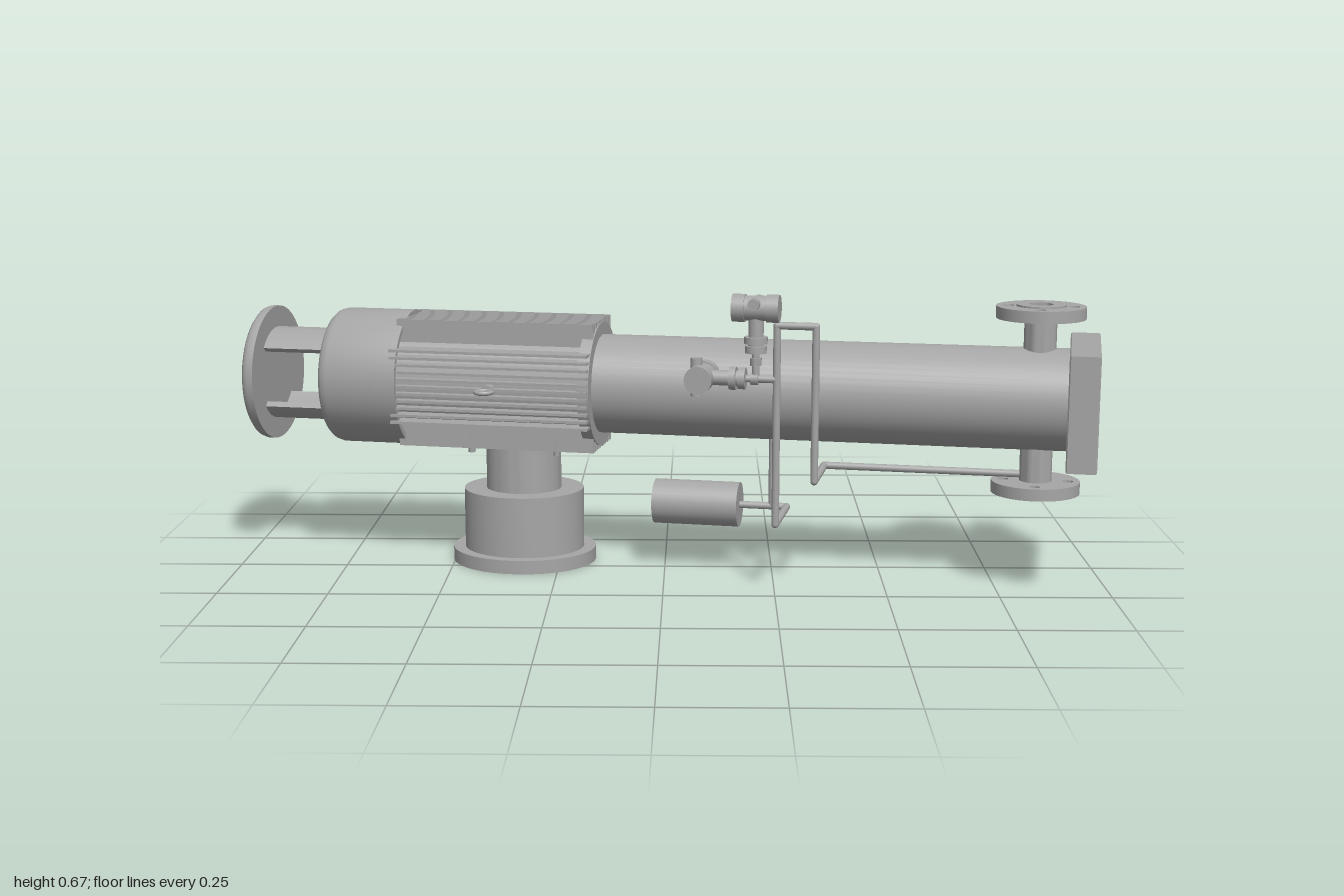
import * as THREE from 'three';
import { toCreasedNormals } from 'three/addons/utils/BufferGeometryUtils.js';

const V = (x, y, z) => new THREE.Vector3(x, y, z);
const AXIS_Y = 0.43; // height of the main shaft line

export function createModel() {
  const root = new THREE.Group();
  root.name = 'pumpUnit';
  const grey = new THREE.MeshStandardMaterial({ color: 0xa6a6a6 });
  grey.name = 'machine grey';

  // Everything lies along one horizontal line (local x), turned slightly about y
  const unit = new THREE.Group();
  unit.name = 'motorAndPump';
  unit.rotation.y = -0.187;
  unit.position.z = -0.0145;
  root.add(unit);

  const add = (name, geo, parent = unit) => {
    const m = new THREE.Mesh(geo, grey);
    m.name = name;
    parent.add(m);
    return m;
  };
  const group = (name) => {
    const g = new THREE.Group();
    g.name = name;
    unit.add(g);
    return g;
  };
  // Cylinder between two points
  const rod = (name, a, b, r, parent = unit, sides = 24) => {
    const d = b.clone().sub(a);
    const m = add(name, new THREE.CylinderGeometry(r, r, d.length(), sides), parent);
    m.position.copy(a).addScaledVector(d, 0.5);
    m.quaternion.setFromUnitVectors(V(0, 1, 0), d.normalize());
    return m;
  };
  // Turned part from [radius, height] pairs
  const turned = (pts, sides = 48) => toCreasedNormals(
    new THREE.LatheGeometry(pts.map(([r, y]) => new THREE.Vector2(r, y)), sides), 0.6);
  const turnedX = (name, pts) => {
    const m = add(name, turned(pts).rotateZ(-Math.PI / 2));
    m.position.y = AXIS_Y;
    return m;
  };
  const hole = (shape, x, y, r) => shape.holes.push(new THREE.Path().absarc(x, y, r, 0, Math.PI * 2, true));
  // Small pipe run with rounded elbows
  const pipeRun = (name, pts, r = 0.0085) => {
    const g = group(name);
    pts.forEach((p, i) => {
      if (i) rod(name + 'Section', pts[i - 1], p, r, g, 12);
      add(name + 'Elbow', new THREE.SphereGeometry(r, 12, 8), g).position.copy(p);
    });
  };

  // Pump barrel and end plate
  rod('pumpBarrel', V(-0.16, AXIS_Y, 0), V(0.921, AXIS_Y, 0), 0.115, unit, 48);
  const plate = new THREE.Shape();
  plate.moveTo(-0.177, -0.125).lineTo(0.177, -0.125).lineTo(0.177, 0.125).lineTo(-0.177, 0.125).closePath();
  for (const x of [-0.154, 0.154]) for (const y of [-0.0865, 0.0865]) hole(plate, x, y, 0.0115);
  add('endPlate', new THREE.ExtrudeGeometry(plate, {
    depth: 0.061, bevelThickness: 0.003, bevelSize: 0.003, bevelSegments: 1, curveSegments: 12,
  }).rotateY(Math.PI / 2)).position.set(0.921, 0.428, 0);

  // Flanged nozzles above and below the barrel
  const disc = new THREE.Shape().absarc(0, 0, 0.099, 0, Math.PI * 2, false);
  hole(disc, 0, 0, 0.03);
  for (let i = 0; i < 4; i++) {
    const a = i * Math.PI / 2;
    hole(disc, 0.072 * Math.cos(a), 0.072 * Math.sin(a), 0.012);
  }
  const flangeGeo = toCreasedNormals(new THREE.ExtrudeGeometry(disc, {
    depth: 0.027, bevelEnabled: false, curveSegments: 24,
  }).rotateX(-Math.PI / 2), 0.6);
  const neckGeo = turned([[0.036, 0], [0.036, 0.2], [0.055, 0.2], [0.055, 0.215], [0.026, 0.215], [0.026, 0]], 32);
  for (const side of ['upper', 'lower']) {
    const g = group(side + 'Nozzle');
    g.position.set(0.852, 0.428, 0);
    if (side === 'lower') g.rotation.x = Math.PI;
    add('nozzleNeck', neckGeo, g);
    add('nozzleFlange', flangeGeo, g).position.y = 0.184;
  }

  // Motor body with its front ring
  rod('motorBody', V(-0.7, AXIS_Y, 0), V(-0.153, AXIS_Y, 0), 0.13, unit, 48);
  rod('motorRing', V(-0.175, AXIS_Y, 0), V(-0.148, AXIS_Y, 0), 0.145, unit, 48);

  // Four banks of cooling fins
  const finGeo = new THREE.BoxGeometry(0.47, 0.06, 0.006);
  for (let bank = 0; bank < 4; bank++) {
    const g = group('coolingFins');
    g.position.y = AXIS_Y;
    g.rotation.x = bank * Math.PI / 2;
    for (let i = -5; i <= 5; i++) add('fin', finGeo, g).position.set(-0.385, 0.12, i * 0.0168);
  }

  // Lifting eyes and mounting bolts
  for (const s of [-1, 1]) {
    add('liftingEye', new THREE.TorusGeometry(0.019, 0.005, 10, 24).rotateX(Math.PI / 2))
      .position.set(-0.385, AXIS_Y, s * 0.174);
    rod('liftingEyeBase', V(-0.385, AXIS_Y, s * 0.125), V(-0.385, AXIS_Y, s * 0.156), 0.013);
    for (const x of [-0.24, -0.445])
      rod('mountingBolt', V(x, 0.27, s * 0.08), V(x, 0.31, s * 0.08), 0.008, unit, 6);
  }

  // Fan shroud with rounded rear edge and recessed end
  turnedX('fanShroud', [
    [0, -0.78], [0.125, -0.78], [0.125, -0.798], [0.14, -0.798], [0.149, -0.794], [0.156, -0.786],
    [0.16, -0.773], [0.16, -0.605], [0.148, -0.605], [0.148, -0.64], [0.12, -0.64],
  ]);

  // Two curved arms carrying the rear cap
  const arc = new THREE.Shape();
  const a0 = Math.PI * 0.22, a1 = Math.PI * 0.78;
  arc.absarc(0, 0, 0.11, a0, a1, false);
  arc.absarc(0, 0, 0.094, a1, a0, true);
  const armGeo = toCreasedNormals(new THREE.ExtrudeGeometry(arc, {
    depth: 0.19, bevelEnabled: false, curveSegments: 20,
  }).rotateY(Math.PI / 2), 0.6);
  for (const s of [0, 1]) {
    const arm = add('capArm', armGeo);
    arm.position.set(-0.965, AXIS_Y, 0);
    arm.rotation.x = s * Math.PI;
  }
  turnedX('rearCap', [
    [0, -0.992], [0.08, -0.991], [0.125, -0.989], [0.148, -0.984], [0.157, -0.977],
    [0.16, -0.968], [0.16, -0.954], [0, -0.954],
  ]);

  // Oval pedestal
  const ped = add('pedestal', turned([
    [0, 0], [0.163, 0], [0.163, 0.032], [0.136, 0.032], [0.136, 0.174], [0.085, 0.174], [0.085, 0.33],
  ], 64));
  ped.position.x = -0.342;
  ped.scale.set(1.045, 1, 0.96);

  // Small-bore pipework and condensate pot
  const T = 0.175;
  pipeRun('sensingPipe', [
    V(0.18, 0.155, 0), V(0.288, 0.155, 0), V(0.288, 0.155, T), V(0.288, 0.603, T),
    V(0.374, 0.603, T), V(0.374, 0.257, T), V(0.374, 0.257, 0), V(0.83, 0.257, 0),
  ]);
  pipeRun('drainRiser', [V(0.254, 0.155, 0), V(0.254, 0.33, 0)]);
  rod('condensatePot', V(-0.022, 0.155, 0), V(0.178, 0.155, 0), 0.052, unit, 32);

  // Pressure transmitters: stem along local y, head across it
  const transmitter = (name) => {
    const g = group(name);
    const stem = (part, y0, y1, r, sides) => rod(part, V(0, y0, 0), V(0, y1, 0), r, g, sides);
    stem('stem', 0, 0.11, 0.008);
    stem('fitting', 0.018, 0.035, 0.014, 6);
    stem('sensorBody', 0.046, 0.062, 0.024);
    stem('sensorRim', 0.067, 0.082, 0.026);
    stem('neck', 0.06, 0.13, 0.017);
    rod('head', V(-0.042, 0.145, 0), V(0.042, 0.145, 0), 0.028, g);
    for (const s of [-1, 1])
      rod('headCover', V(s * 0.024, 0.145, 0), V(s * 0.052, 0.145, 0), 0.031, g);
    rod('cableEntry', V(0, 0.157, -0.043), V(0, 0.157, 0.043), 0.013, g);
    return g;
  };
  const upper = transmitter('upperTransmitter');
  upper.position.set(0.241, 0.495, T);
  const lower = transmitter('lowerTransmitter');
  lower.position.set(0.265, 0.483, T);
  lower.rotation.set(Math.PI / 2, 0, Math.PI / 2, 'YXZ');
  lower.quaternion.setFromRotationMatrix(
    new THREE.Matrix4().makeBasis(V(0, 0, 1), V(-1, 0, 0), V(0, -1, 0)));
  pipeRun('transmitterLink', [V(0.288, 0.483, T), V(0.241, 0.483, T), V(0.241, 0.51, T)]);

  return root;
}
